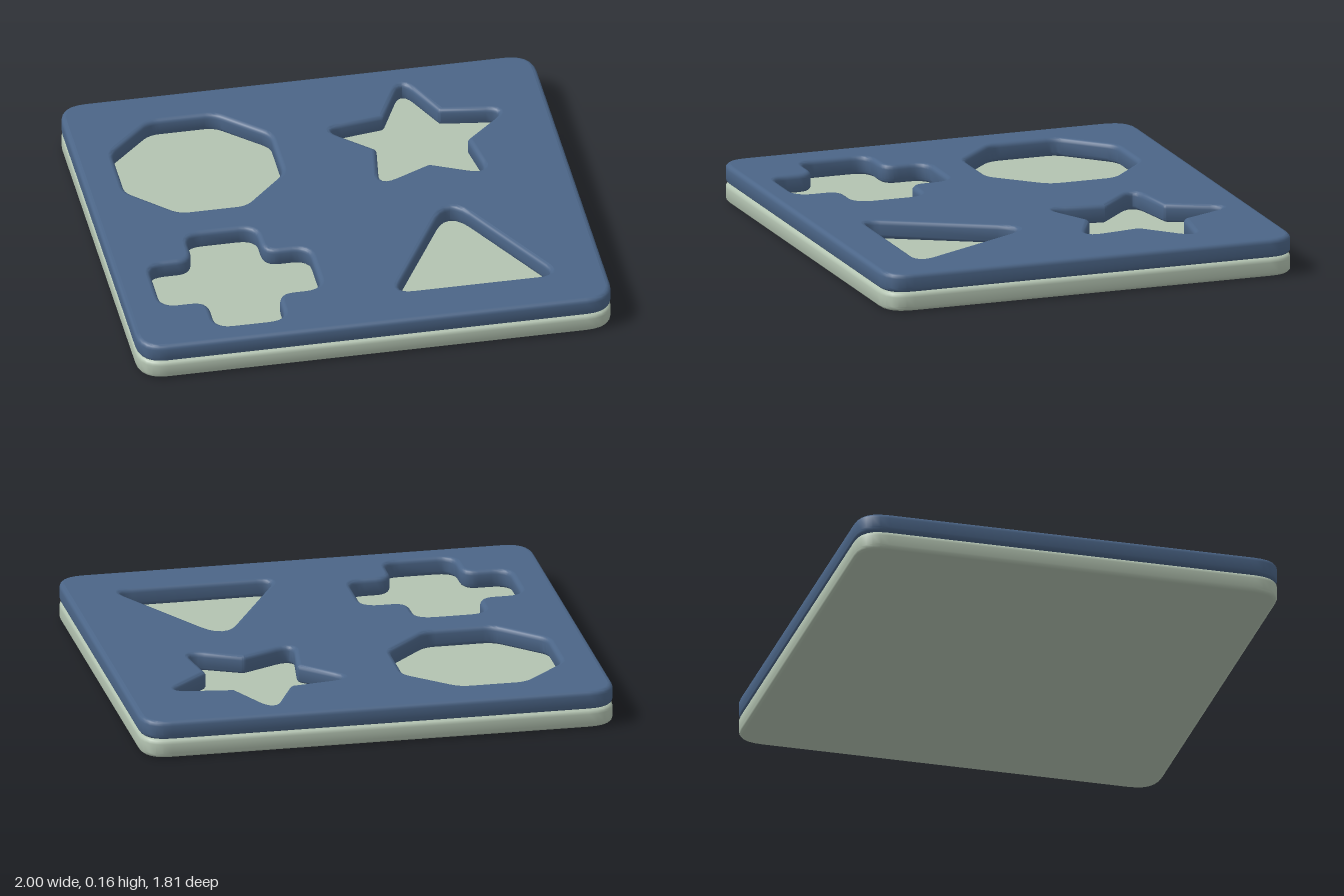
import * as THREE from 'three';
import { toCreasedNormals } from 'three/addons/utils/BufferGeometryUtils.js';

const HEIGHT = 0.08, BEVEL = 0.02;

// Traces a polygon of [x, z, rounding] corners, softening each corner
function outline(corners, path) {
  const pts = corners.map(([x, z]) => new THREE.Vector2(x, -z));
  const n = pts.length;
  corners.forEach(([, , round], i) => {
    const p = pts[i];
    const toward = (q) => p.clone().add(q.clone().sub(p).setLength(round));
    const a = toward(pts[(i + n - 1) % n]);
    const b = toward(pts[(i + 1) % n]);
    if (i === 0) path.moveTo(a.x, a.y);
    else path.lineTo(a.x, a.y);
    path.quadraticCurveTo(p.x, p.y, b.x, b.y);
  });
  path.closePath();
  return path;
}

// Rounded slab lying flat, with optional cut-outs
function slab(name, material, y, holes = []) {
  const r = 0.12;
  const shape = outline([[-1, -0.905, r], [-1, 0.905, r], [1, 0.905, r], [1, -0.905, r]], new THREE.Shape());
  shape.holes = holes.map((h) => outline(h, new THREE.Path()));
  const geo = toCreasedNormals(new THREE.ExtrudeGeometry(shape, {
    depth: HEIGHT - 2 * BEVEL, curveSegments: 6,
    bevelThickness: BEVEL, bevelSize: BEVEL, bevelOffset: -BEVEL, bevelSegments: 4,
  }), 0.6);
  // Keep the large top and bottom faces perfectly flat-shaded
  const pos = geo.attributes.position, normal = geo.attributes.normal;
  const caps = geo.groups[0];
  for (let i = caps.start; i < caps.start + caps.count; i++) {
    normal.setXYZ(i, 0, 0, pos.getZ(i) > HEIGHT / 2 - BEVEL ? 1 : -1);
  }
  geo.translate(0, 0, BEVEL);
  geo.rotateX(-Math.PI / 2);
  const mesh = new THREE.Mesh(geo, material);
  mesh.name = name;
  mesh.position.y = y;
  return mesh;
}

export function createModel() {
  const blue = new THREE.MeshStandardMaterial({ color: 0x4b6587 });
  blue.name = 'slate blue';
  const green = new THREE.MeshStandardMaterial({ color: 0xb3c3b1 });
  green.name = 'pale sage';

  // Cut-outs as [x, z, rounding]
  const octagon = [
    [-0.645, -0.717], [-0.375, -0.717], [-0.175, -0.53], [-0.175, -0.25],
    [-0.37, -0.05], [-0.65, -0.05], [-0.842, -0.24], [-0.842, -0.525],
  ].map(([x, z]) => [x, z, 0.04]);

  const star = [
    [0.43, -0.82], [0.545, -0.57], [0.82, -0.53], [0.62, -0.345], [0.66, -0.09],
    [0.43, -0.2], [0.2, -0.09], [0.238, -0.345], [0.045, -0.53], [0.313, -0.57],
  ].map(([x, z], i) => [x, z, i % 2 ? 0.012 : 0.085]);

  const [x0, x1, x2, x3] = [-0.853, -0.66, -0.365, -0.176];
  const [z0, z1, z2, z3] = [0.118, 0.305, 0.605, 0.797];
  const cross = [
    [x1, z0], [x2, z0], [x2, z1], [x3, z1], [x3, z2], [x2, z2],
    [x2, z3], [x1, z3], [x1, z2], [x0, z2], [x0, z1], [x1, z1],
  ].map(([x, z]) => [x, z, 0.07]);

  const triangle = [[0.455, 0.07, 0.14], [0.112, 0.69, 0.08], [0.798, 0.69, 0.08]];

  const group = new THREE.Group();
  group.name = 'shapeSorterBoard';
  group.add(slab('baseBoard', green, 0));
  group.add(slab('cutoutBoard', blue, HEIGHT, [octagon, star, cross, triangle]));
  return group;
}
